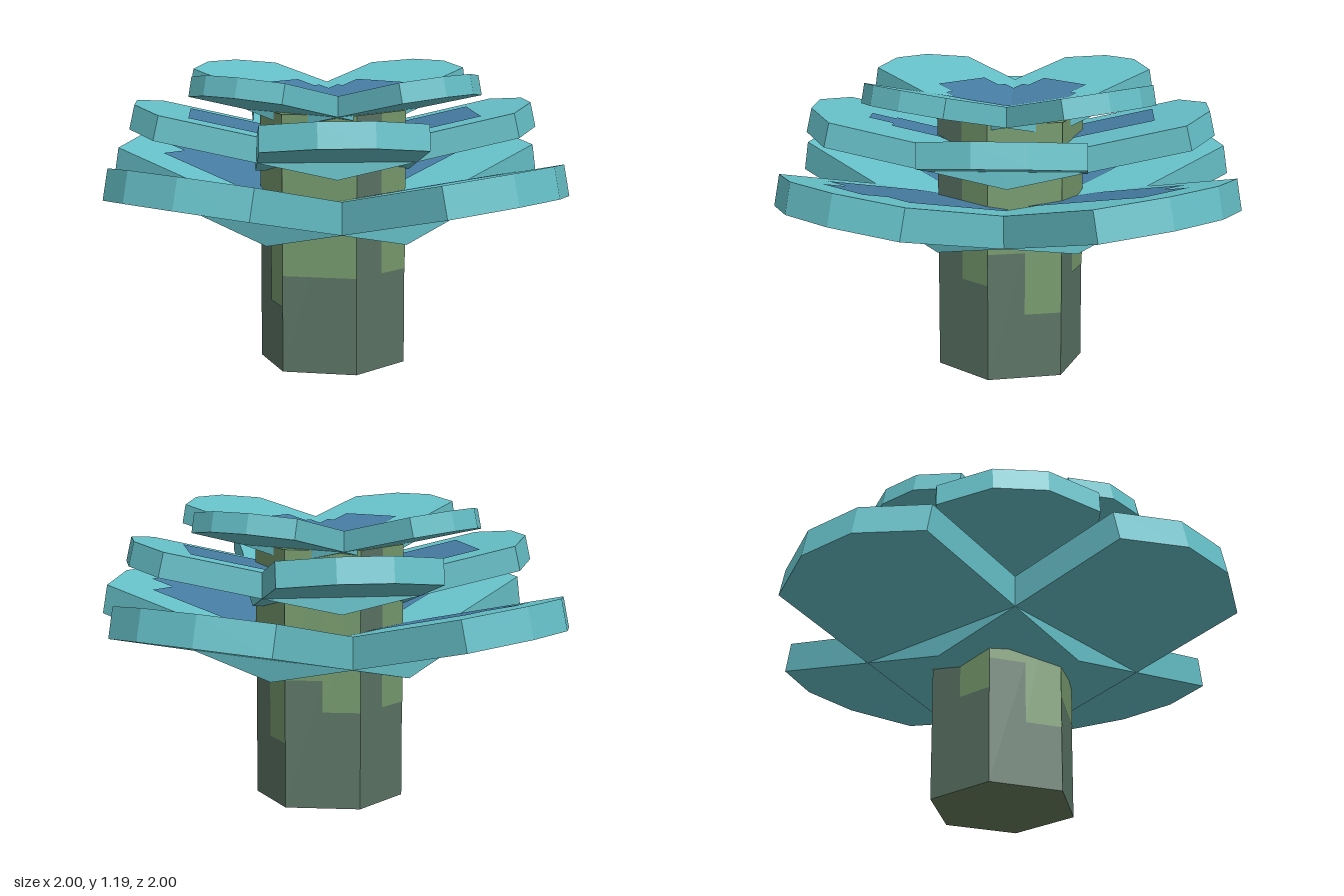
import * as THREE from 'three';

const TILT = Math.atan(0.225), THICK = 0.123;

const material = (name, color) => {
  const m = new THREE.MeshStandardMaterial({ color, flatShading: true });
  m.name = name;
  return m;
};

// Horizontal distance to distance along the slope, on the slab's lower or upper face
const alongLow = u => u / Math.cos(TILT);
const alongTop = u => (u + THICK * Math.sin(TILT)) / Math.cos(TILT);
const outline = (points, along) =>
  new THREE.Shape(points.map(([u, v]) => new THREE.Vector2(along(u), -v)));

// Tilted slab with a clipped outer end, pointing along +x
function petalGeometry() {
  const shape = outline([[0, 0.385], [0.875, 0.385], [1, 0.13], [1, -0.13], [0.875, -0.385], [0, -0.385]], alongLow);
  return new THREE.ExtrudeGeometry(shape, { depth: THICK, bevelEnabled: false })
    .rotateX(-Math.PI / 2).rotateZ(TILT);
}

// Stepped blue patch: wide part up to u1, narrow tongue up to u2
function patchGeometry([u1, wPlus, wMinus, u2, nPlus, nMinus]) {
  const points = [[0, 0], [wPlus, wPlus], [u1, wPlus]];
  if (u2 > u1) points.push([u1, nPlus], [u2, nPlus], [u2, -nMinus], [u1, -nMinus]);
  points.push([u1, -wMinus], [wMinus, -wMinus]);
  return new THREE.ShapeGeometry(outline(points, alongTop))
    .rotateX(-Math.PI / 2).translate(0, THICK + 0.004, 0).rotateZ(TILT);
}

export function createModel() {
  const model = new THREE.Group();
  model.name = 'layeredFlower';
  const teal = material('petalTeal', 0x66c0c8);
  const blue = material('patchBlue', 0x467ca2);
  const bark = material('stemGreyGreen', 0x5b7465);
  const moss = material('stemLightGreen', 0x769a6d);
  const olive = material('stemBaseOlive', 0x697d5c);

  const add = (parent, name, geometry, mat) => {
    const mesh = new THREE.Mesh(geometry, mat);
    mesh.name = name;
    parent.add(mesh);
    return mesh;
  };

  // Six-sided stem
  const stemHeight = 1.02, radius = 0.295;
  add(model, 'stem', new THREE.CylinderGeometry(radius, radius, stemHeight, 6)
    .rotateY(Math.PI / 6).translate(0, stemHeight / 2, 0), [bark, moss, olive]);

  // Light green patches: lower edge on the left and right half of each stem side
  const mossEdges = [[0, 0.385], [0.51, 0.26], [0.51, 0.385], [0, 0.385], [0.51, 0.26], [0.385, 0.385]];
  mossEdges.forEach((halves, side) => halves.forEach((low, i) => {
    if (!low) return;
    const height = stemHeight - low;
    const plate = new THREE.PlaneGeometry(radius / 2, height)
      .translate((i - 0.5) * radius / 2, low + height / 2, radius * Math.cos(Math.PI / 6) + 0.002)
      .rotateY(side * Math.PI / 3);
    add(model, 'stemPatch', plate, moss);
  }));

  // Three tiers of four petals; the middle one is turned by an eighth
  const crown = [0.33, 0.25, 0.25, 0.47, 0.195, 0.195];
  const broad = [0.71, 0.25, 0.25, 0.71, 0, 0];
  const tiers = [
    { name: 'lowerPetals', scale: 1, y: 0.515, turn: 0, patches: [
      [0.71, 0.125, 0.25, 0.84, 0.125, 0.125],
      [0.72, 0.125, 0.25, 0.84, 0, 0.13],
      [0.72, 0.125, 0.125, 0.72, 0, 0],
      [0.72, 0.25, 0.25, 0.835, 0.125, 0.125]] },
    { name: 'middlePetals', scale: 0.8, y: 0.775, turn: Math.PI / 4, patches: [
      [0.71, 0.095, 0.25, 0.71, 0, 0],
      broad,
      [0.58, 0.1, 0.13, 0.7, 0.07, 0.06],
      broad] },
    { name: 'upperPetals', scale: 0.635, y: 0.966, turn: 0, patches: [crown, crown, crown, crown] },
  ];
  const petal = petalGeometry();
  for (const { name, scale, y, turn, patches } of tiers) {
    const tier = new THREE.Group();
    tier.name = name;
    tier.position.y = y;
    tier.scale.setScalar(scale);
    patches.forEach((patch, i) => {
      const angle = turn + i * Math.PI / 2;
      add(tier, 'petal', petal, teal).rotation.y = angle;
      add(tier, 'petalPatch', patchGeometry(patch), blue).rotation.y = angle;
    });
    model.add(tier);
  }
  return model;
}
